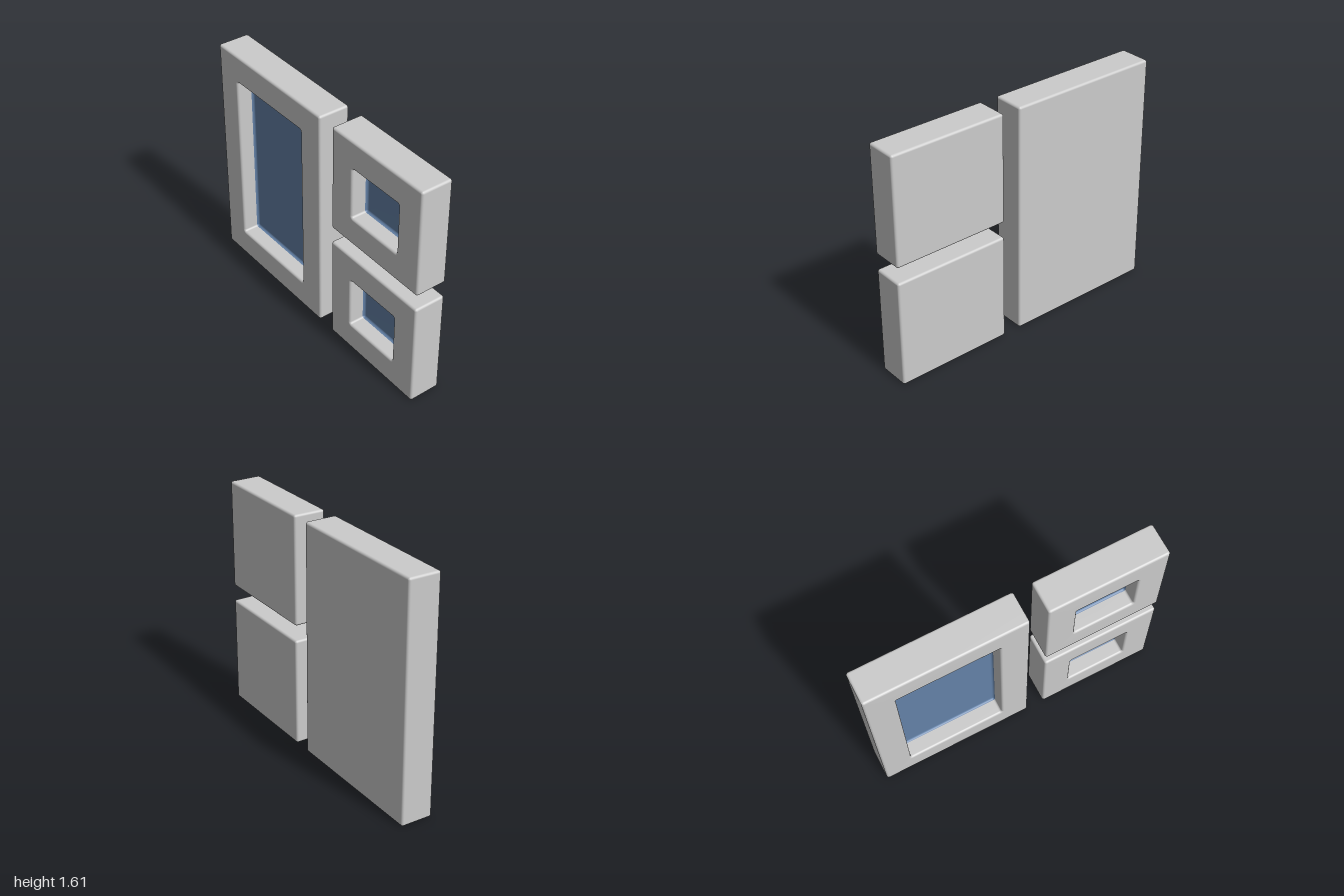
import * as THREE from 'three';

const DEPTH = 0.22, BORDER = 0.195, BEVEL = 0.016, PANE_Z = -0.01, STEPS = 5;
const frameMaterial = new THREE.MeshStandardMaterial({ color: 0xcccccc });
const paneMaterial = new THREE.MeshStandardMaterial({ color: 0x6482a8 });

// Rounded rectangle of points, counter-clockwise seen from the front
function ring(halfW, halfH, radius, z) {
  const points = [];
  const corners = [[1, 1], [-1, 1], [-1, -1], [1, -1]];
  corners.forEach(([sx, sy], c) => {
    for (let i = 0; i <= STEPS; i++) {
      const a = (c + i / STEPS) * Math.PI / 2;
      points.push([
        sx * (halfW - radius) + radius * Math.cos(a),
        sy * (halfH - radius) + radius * Math.sin(a), z]);
    }
  });
  return points;
}

// Skin joining consecutive rings
function loft(rings) {
  const n = rings[0].length, index = [];
  for (let i = 0; i < rings.length - 1; i++) {
    for (let j = 0; j < n; j++) {
      const k = (j + 1) % n;
      const a = i * n + j, b = i * n + k, c = a + n, d = b + n;
      index.push(a, b, d, a, d, c);
    }
  }
  const geometry = new THREE.BufferGeometry();
  geometry.setAttribute('position', new THREE.Float32BufferAttribute(rings.flat(2), 3));
  geometry.setIndex(index);
  geometry.computeVertexNormals();
  return geometry;
}

// Quarter-circle profile as [inset, z] pairs around a centre
function arc(inset, z, from, to) {
  return Array.from({ length: STEPS + 1 }, (_, i) => {
    const a = THREE.MathUtils.degToRad(from + (to - from) * i / STEPS);
    return [inset + BEVEL * Math.cos(a), z + BEVEL * Math.sin(a)];
  });
}

function windowBlock(name, x0, x1, y0, y1) {
  const halfW = (x1 - x0) / 2, halfH = (y1 - y0) / 2, front = DEPTH / 2;
  const outer = ([inset, z]) =>
    ring(halfW - inset, halfH - inset, Math.max(BEVEL - inset, 0.002), z);
  const inner = ([inset, z]) =>
    ring(halfW - inset, halfH - inset, Math.max(0.014 + BORDER - inset, 0.002), z);

  // Closed back, rounded outer edges, front face, rounded opening and recess walls
  const frame = new THREE.Mesh(loft([
    ring(0, 0, 0, -front),
    ...arc(BEVEL, -front + BEVEL, 270, 180).map(outer),
    ...arc(BEVEL, front - BEVEL, 180, 90).map(outer),
    ...arc(BORDER - BEVEL, front - BEVEL, 90, 0).map(inner),
    inner([BORDER, PANE_Z + BEVEL]),
  ]), frameMaterial);
  frame.name = 'frame';

  // Recessed pane with a filleted rim
  const pane = new THREE.Mesh(loft([
    ...arc(BORDER + BEVEL, PANE_Z + BEVEL, 180, 270).map(inner),
    ring(0, 0, 0, PANE_Z),
  ]), paneMaterial);
  pane.name = 'pane';

  const block = new THREE.Group();
  block.name = name;
  block.add(frame, pane);
  block.position.set((x0 + x1) / 2, (y0 + y1) / 2, 0);
  return block;
}

export function createModel() {
  const model = new THREE.Group();
  model.name = 'windowPanels';
  model.add(
    windowBlock('tallWindow', -1, 0.07, 0, 1.605),
    windowBlock('upperWindow', 0.19, 1, 0.857, 1.605),
    windowBlock('lowerWindow', 0.19, 1, 0, 0.75),
  );
  return model;
}
